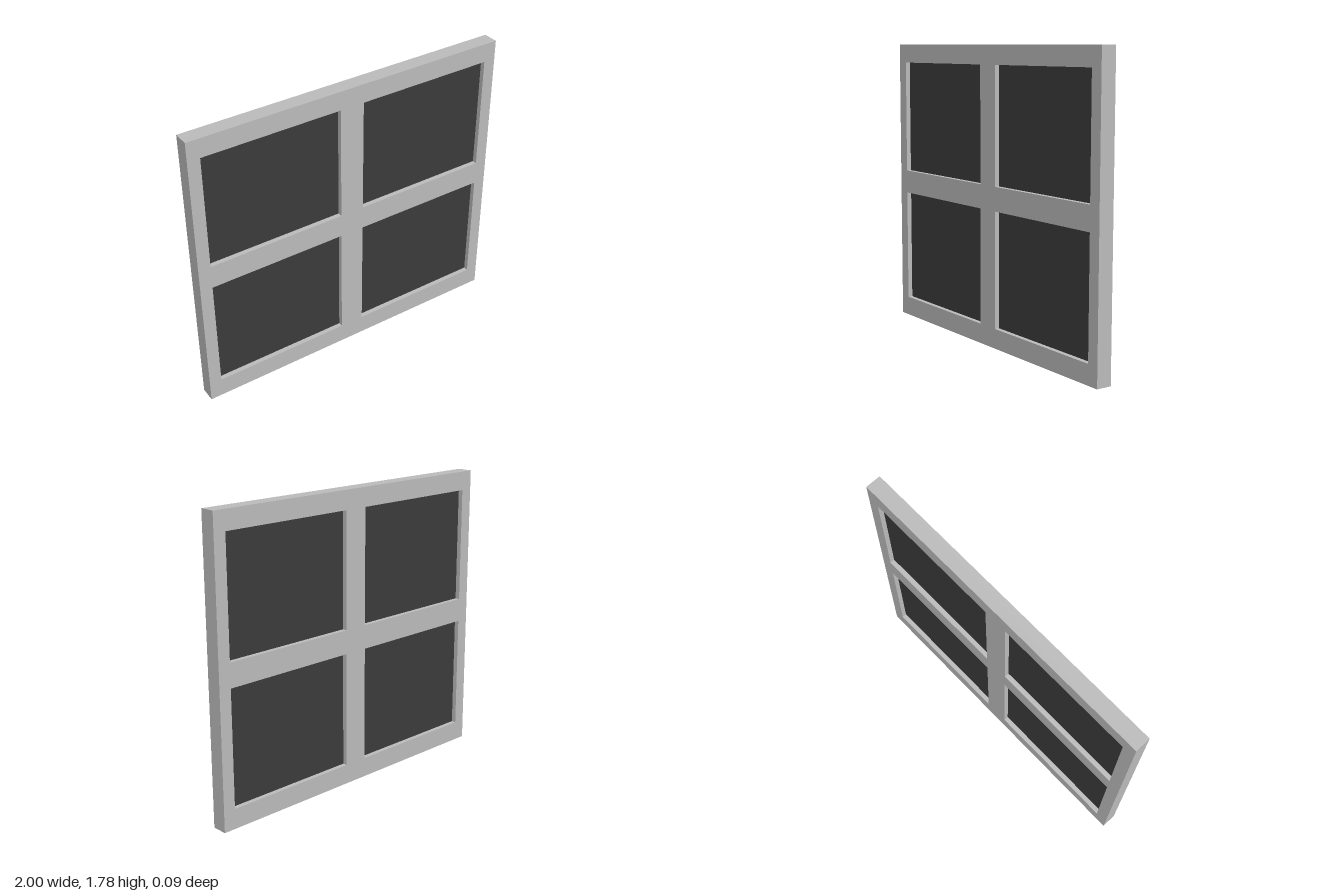
import * as THREE from 'three';

export function createModel() {
  const group = new THREE.Group();
  const width = 2, height = 1.78, depth = 0.094;
  const paneW = 0.85, paneH = 0.7, paneDepth = 0.036;
  const centresX = [-0.5, 0.5], centresY = [0.47, 1.315];

  const frameMaterial = new THREE.MeshStandardMaterial({ color: 0xbbbbbb });
  frameMaterial.name = 'light grey frame';
  const paneMaterial = new THREE.MeshStandardMaterial({ color: 0x3b3b3b });
  paneMaterial.name = 'dark grey pane';

  const rectangle = (path, x, y, w, h) => path
    .moveTo(x - w / 2, y - h / 2)
    .lineTo(x + w / 2, y - h / 2)
    .lineTo(x + w / 2, y + h / 2)
    .lineTo(x - w / 2, y + h / 2)
    .closePath();

  // Frame slab with four openings, and a recessed pane in each
  const outline = rectangle(new THREE.Shape(), 0, height / 2, width, height);
  for (const x of centresX) {
    for (const y of centresY) {
      outline.holes.push(rectangle(new THREE.Path(), x, y, paneW, paneH));
      const pane = new THREE.Mesh(new THREE.BoxGeometry(paneW, paneH, paneDepth), paneMaterial);
      pane.name = `${y > 1 ? 'upper' : 'lower'}${x > 0 ? 'Left' : 'Right'}Pane`;
      pane.position.set(x, y, 0);
      group.add(pane);
    }
  }
  const frameGeometry = new THREE.ExtrudeGeometry(outline, { depth, bevelEnabled: false });
  frameGeometry.translate(0, 0, -depth / 2);
  const frame = new THREE.Mesh(frameGeometry, frameMaterial);
  frame.name = 'windowFrame';
  group.add(frame);

  group.name = 'window';
  return group;
}
